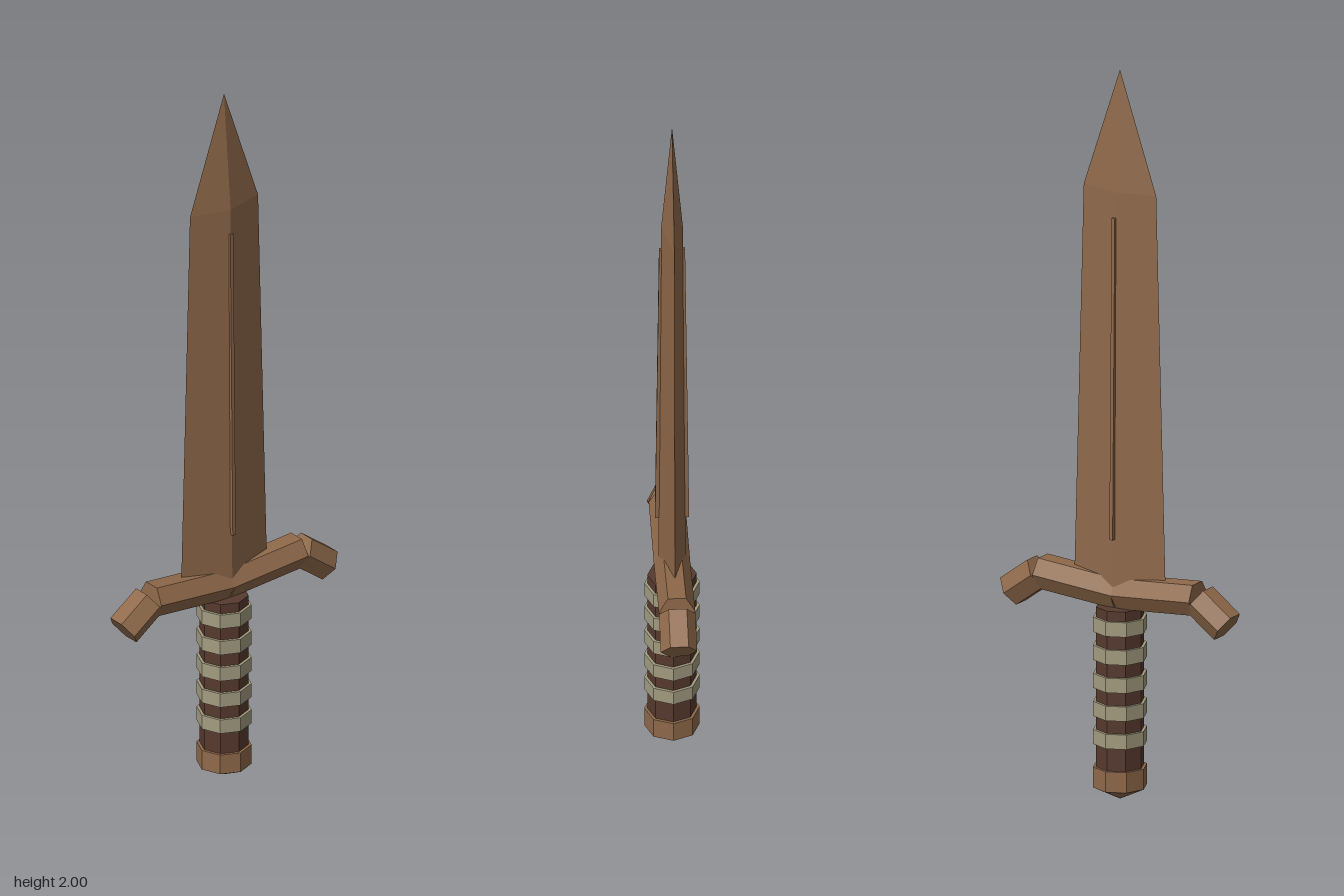
import * as THREE from 'three';

const flat = (color) => new THREE.MeshStandardMaterial({ color, flatShading: true });

export function createModel() {
  const dagger = new THREE.Group();
  dagger.name = 'dagger';
  const wood = flat(0x8f694a);
  const leather = flat(0x573a2f);
  const cord = flat(0xa39c80);

  const add = (name, geometry, material) => {
    const mesh = new THREE.Mesh(geometry, material);
    mesh.name = name;
    dagger.add(mesh);
    return mesh;
  };
  // faceted solid of revolution from [radius, height] pairs
  const turned = (profile, sides) =>
    new THREE.LatheGeometry(profile.map(([r, y]) => new THREE.Vector2(r, y)), sides);

  // Blade: flattened four-sided profile with a diamond cross-section
  const blade = turned([[0, 0.59], [0.141, 0.59], [0.112, 1.67], [0, 2]], 4);
  blade.scale(0.257, 1, 1);
  add('blade', blade, wood);

  // Central ridge: thin strip standing proud of both blade faces, narrowing upward
  const ridge = new THREE.BoxGeometry(0.09, 0.88, 0.01);
  const p = ridge.attributes.position;
  for (let i = 0; i < p.count; i++) if (p.getY(i) > 0) p.setX(i, p.getX(i) * 0.76);
  ridge.translate(0, 1.16, 0);
  add('bladeRidge', ridge, wood);

  // Crossguard: hexagonal bars between two (y, z) points
  const bar = (name, y0, z0, y1, z1) => {
    const g = new THREE.CylinderGeometry(0.048, 0.048, Math.hypot(y1 - y0, z1 - z0), 6);
    g.rotateY(Math.PI / 2);
    g.rotateX(Math.atan2(z1 - z0, y1 - y0));
    g.translate(0, (y0 + y1) / 2, (z0 + z1) / 2);
    add(name, g, wood);
  };
  for (const [side, s] of [['front', 1], ['back', -1]]) {
    bar(side + 'GuardArm', 0.568, 0, 0.587, s * 0.242);
    bar(side + 'GuardTip', 0.585, s * 0.247, 0.523, s * 0.331);
  }

  // Grip with five raised cord bands
  const grip = new THREE.CylinderGeometry(0.065, 0.065, 0.47, 8);
  grip.translate(0, 0.295, 0);
  add('grip', grip, leather);
  for (let i = 0; i < 5; i++) {
    const band = add('gripBand', new THREE.CylinderGeometry(0.073, 0.073, 0.04, 8), cord);
    band.position.y = 0.175 + i * 0.077;
  }

  // Pommel with a shallow pointed base
  add('pommel', turned([[0, 0], [0.073, 0.036], [0.073, 0.092], [0, 0.092]], 8), wood);

  return dagger;
}
